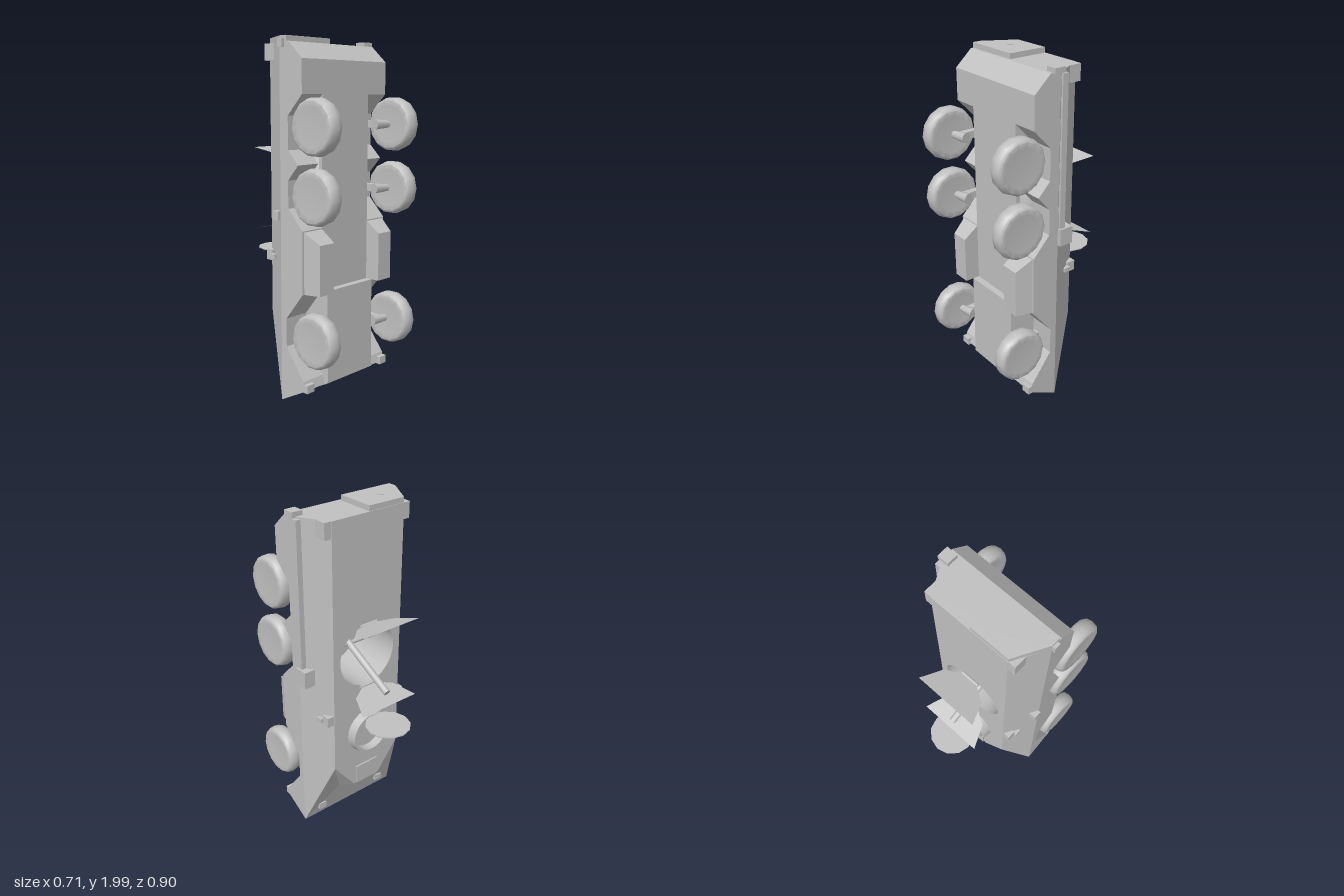
import * as THREE from 'three';
import { toCreasedNormals } from 'three/addons/utils/BufferGeometryUtils.js';

const paint = new THREE.MeshStandardMaterial({ color: 0xc0c0c0, side: THREE.DoubleSide });
paint.name = 'plain grey';

export function createModel() {
  const model = new THREE.Group();
  model.name = 'armouredCarrier';

  const add = (name, geometry) => {
    const mesh = new THREE.Mesh(geometry, paint);
    mesh.name = name;
    model.add(mesh);
    return mesh;
  };
  const box = (name, x0, x1, y0, y1, z0, z1) =>
    add(name, new THREE.BoxGeometry(x1 - x0, y1 - y0, z1 - z0))
      .position.set((x0 + x1) / 2, (y0 + y1) / 2, (z0 + z1) / 2);
  const boxPair = (name, x0, x1, ...rest) => {
    box(name + 'Left', x0, x1, ...rest);
    box(name + 'Right', -x1, -x0, ...rest);
  };
  const shapeOf = (points) => new THREE.Shape(points.map(([a, b]) => new THREE.Vector2(a, b)));
  // side profile given as [z, y], spanning x0..x1
  const slab = (name, profile, x0, x1) => {
    const g = new THREE.ExtrudeGeometry(shapeOf(profile), { depth: x1 - x0, bevelEnabled: false });
    add(name, g.rotateY(-Math.PI / 2).translate(x1, 0, 0));
  };
  // flat polygons, each turned to face away from a centre point
  const faces = (name, polygons, centre) => {
    const out = [];
    for (const poly of polygons) {
      const p = poly.map((c) => new THREE.Vector3(...c));
      for (let i = 1; i < p.length - 1; i++) {
        const tri = new THREE.Triangle(p[0], p[i], p[i + 1]);
        const n = tri.getNormal(new THREE.Vector3());
        const outward = n.dot(p[0].clone().sub(centre)) > 0;
        for (const v of outward ? [tri.a, tri.b, tri.c] : [tri.a, tri.c, tri.b]) out.push(v.x, v.y, v.z);
      }
    }
    const g = new THREE.BufferGeometry();
    g.setAttribute('position', new THREE.Float32BufferAttribute(out, 3));
    g.computeVertexNormals();
    return add(name, g);
  };
  const rod = (name, from, to, r0, r1 = r0, sides = 12) => {
    const a = new THREE.Vector3(...from), b = new THREE.Vector3(...to);
    const mesh = add(name, new THREE.CylinderGeometry(r1, r0, a.distanceTo(b), sides));
    mesh.position.copy(a).add(b).multiplyScalar(0.5);
    mesh.quaternion.setFromUnitVectors(new THREE.Vector3(0, 1, 0), b.sub(a).normalize());
  };

  // lower hull: centre slab, hollowed behind the gun well, and side slabs with wheel arches
  slab('bellyHull', [[0.05, 0], [0.26, 0.11], [0.255, 0.635], [0.215, 0.635], [0.215, 1.87], [0.115, 1.96],
    [0.05, 1.96], [0.05, 1.4], [0.19, 1.4], [0.19, 0.9], [0.05, 0.9]], -0.185, 0.185);
  const arches = [[0.05, 0], [0.235, 0.1], [0.22, 0.15], [0.09, 0.32], [0.09, 0.48], [0.215, 0.635], [0.215, 0.98],
    [0.11, 1.09], [0.11, 1.24], [0.185, 1.325], [0.11, 1.4], [0.11, 1.58], [0.215, 1.69], [0.215, 1.87],
    [0.115, 1.96], [0.05, 1.96]];
  slab('sideHullLeft', arches, 0.185, 0.335);
  slab('sideHullRight', arches, -0.335, -0.185);

  // upper hull: sloped sides, rear wall, glacis and the driver's hump
  const R = -0.133;
  const inside = new THREE.Vector3(0, 1, 0.1);
  const hull = [
    [[-0.335, 1.96, 0.05], [0.335, 1.96, 0.05], [0.235, 1.96, R], [-0.235, 1.96, R]],
    [[-0.335, 0, 0.05], [0.335, 0, 0.05], [0.115, 0.2, -0.013], [-0.115, 0.2, -0.013]],
    [[-0.115, 0.2, -0.013], [0.115, 0.2, -0.013], [0.095, 0.28, R], [-0.095, 0.28, R]],
  ];
  for (const s of [1, -1]) {
    const tip = [s * 0.335, 0, 0.05], corner = [s * 0.235, 0.46, R], foot = [s * 0.115, 0.2, -0.013];
    hull.push([tip, [s * 0.335, 1.96, 0.05], [s * 0.235, 1.96, R], corner]);
    hull.push([tip, corner, foot]);
    hull.push([corner, [s * 0.095, 0.28, R], foot]);
  }
  faces('upperHull', hull, inside);

  // roof with the round gun well
  const roof = shapeOf([[0.235, 0.46], [0.235, 1.96], [-0.235, 1.96], [-0.235, 0.46], [-0.095, 0.28], [0.095, 0.28]]);
  roof.holes.push(new THREE.Path().absarc(0, 1.15, 0.19, 0, Math.PI * 2, true));
  const roofGeometry = new THREE.ShapeGeometry(roof, 16);
  roofGeometry.rotateY(Math.PI).translate(0, 0, R);
  add('roof', roofGeometry);
  const well = new THREE.CylinderGeometry(0.19, 0.19, 0.32, 32, 1, true).rotateX(Math.PI / 2);
  add('gunWell', well).position.set(0, 1.15, R + 0.16);

  // gun, its trunnion and the two well doors
  rod('gunBarrel', [0, 1.16, 0.05], [0, 0.98, -0.305], 0.02);
  rod('gunTrunnion', [-0.19, 1.15, 0.03], [0.19, 1.15, 0.03], 0.012);
  for (const s of [1, -1]) {
    const outline = [[-0.05, 0.15], [0.05, 0.15], [0.135, 0.2], [0.19, 0.33], [-0.19, 0.33], [-0.135, 0.2]];
    const y = (d) => 1.15 + s * (0.19 + (d - 0.14) * 0.26);
    faces(s > 0 ? 'rearWellDoor' : 'frontWellDoor', [outline.map(([x, d]) => [x, y(d), -d])], inside);
    rod('doorHinge', [-0.055, y(0.14), -0.142], [0.055, y(0.14), -0.142], 0.009);
  }

  // driver's hatch ring with its open lid
  const ring = [[0.138, 0], [0.13, 0.053], [0.113, 0.053], [0.113, 0]].map(([r, h]) => new THREE.Vector2(r, h));
  const ringGeometry = new THREE.LatheGeometry(ring, 32).rotateX(-Math.PI / 2);
  add('hatchRing', toCreasedNormals(ringGeometry, 0.6)).position.set(0, 0.645, R);
  add('hatchLid', new THREE.CylinderGeometry(0.13, 0.13, 0.006, 12)).position.set(0, 0.775, -0.32);
  box('hatchLidHinge', -0.03, 0.03, 0.768, 0.782, -0.2, R);
  box('driverPlate', -0.08, 0.08, 0.285, 0.405, -0.142, R);

  // side tanks with bevelled outer and rear faces
  for (const s of [1, -1]) {
    const g = new THREE.BoxGeometry(0.14, 0.345, 0.1).translate(s * 0.255, 0.8075, 0.255);
    const p = g.attributes.position;
    for (let i = 0; i < p.count; i++) {
      if (p.getZ(i) < 0.26) continue;
      if (Math.abs(p.getX(i)) > 0.3) p.setX(i, s * 0.293);
      if (p.getY(i) > 0.9) p.setY(i, 0.91);
    }
    g.computeVertexNormals();
    add(s > 0 ? 'tankLeft' : 'tankRight', g);
  }

  // wheels and axle stubs
  const tyre = [[0, -0.042], [0.105, -0.042], [0.134, -0.045], [0.147, -0.032], [0.153, 0],
    [0.147, 0.032], [0.134, 0.045], [0.105, 0.042], [0, 0.042]].map(([r, h]) => new THREE.Vector2(r, h));
  const wheelGeometry = toCreasedNormals(new THREE.LatheGeometry(tyre, 14).rotateZ(Math.PI / 2), 0.9);
  for (const y of [0.395, 1.165, 1.525]) {
    for (const s of [1, -1]) {
      add('wheel', wheelGeometry).position.set(s * 0.312, y, 0.298);
      rod('axle', [s * 0.18, y, 0.27], [s * 0.28, y, 0.29], 0.03, 0.02, 8);
      box('suspensionArm', s * 0.225 - 0.02, s * 0.225 + 0.02, y - 0.02, y + 0.02, 0.1, 0.29);
    }
  }

  // rear door and its handle
  const door = [[-0.235, 0.13], [-0.005, 0.13], [-0.005, -0.1], [-0.335, -0.1], [-0.335, -0.05]];
  const doorGeometry = new THREE.ExtrudeGeometry(shapeOf(door), { depth: 0.03, bevelEnabled: false });
  add('rearDoor', doorGeometry.rotateX(-Math.PI / 2)).position.y = 1.96;
  box('doorPeephole', -0.182, -0.155, 1.985, 1.993, -0.035, -0.007);

  // lamps, brackets and stowage fittings
  boxPair('rearLamp', 0.225, 0.277, 1.87, 1.96, -0.13, -0.05);
  boxPair('periscope', 0.23, 0.278, 0.77, 0.83, -0.13, -0.08);
  boxPair('mirrorMount', 0.26, 0.295, 0.785, 0.81, -0.085, -0.045);
  boxPair('headlamp', 0.2, 0.25, 0.06, 0.1, 0.01, 0.06);
  boxPair('towHook', 0.28, 0.335, 0.09, 0.135, 0.2, 0.25);
  box('sideRail', 0.315, 0.345, 1.1, 1.95, 0.01, 0.045);
  box('railBox', 0.29, 0.357, 1.01, 1.11, -0.035, 0.05);
  box('sideLamp', -0.35, -0.31, 1.02, 1.07, 0, 0.045);
  box('rearBracketLeft', 0.285, 0.35, 1.955, 1.985, 0.035, 0.1);
  box('rearBracketRight', -0.352, -0.33, 1.93, 1.975, 0.05, 0.085);
  return model;
}
